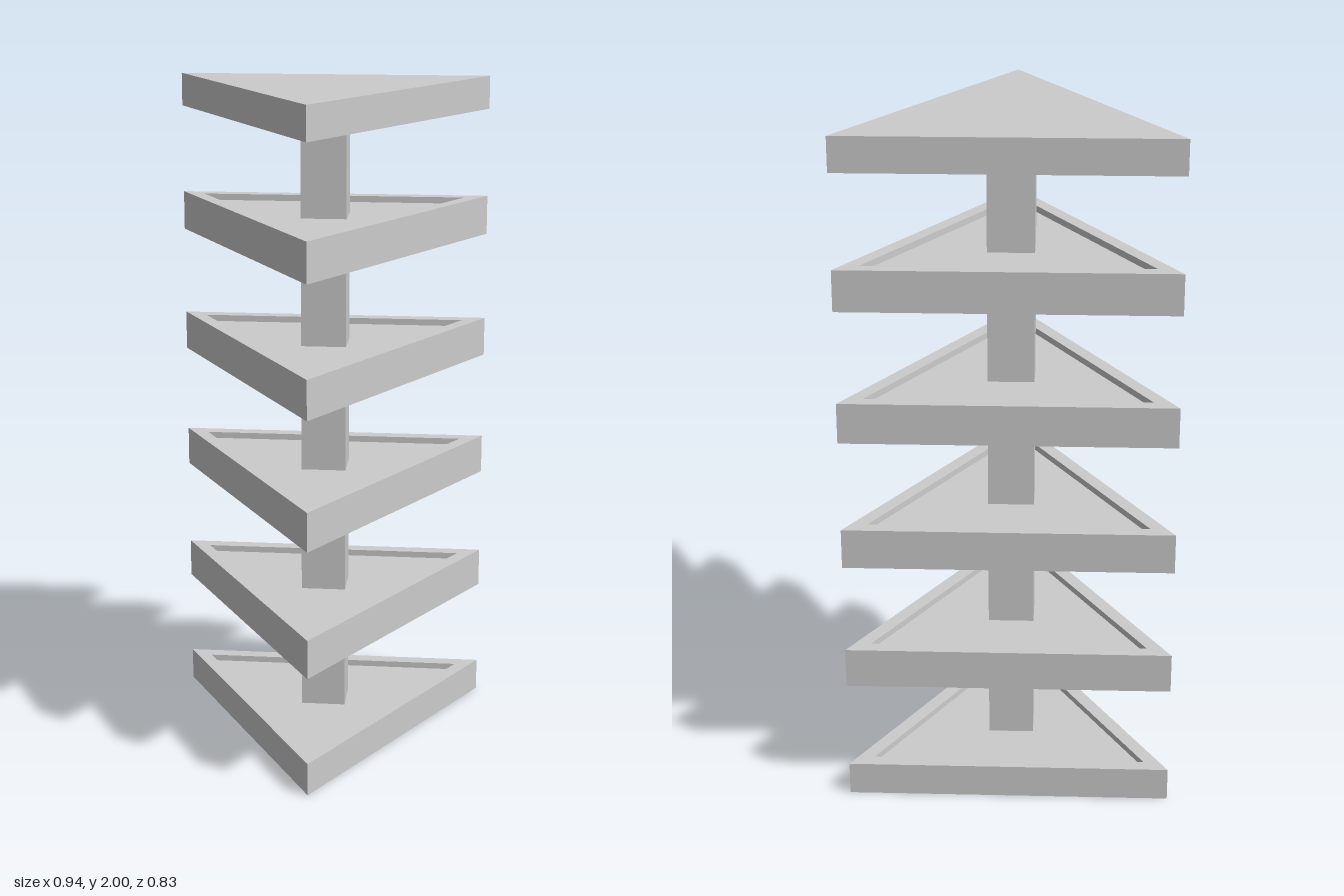
import * as THREE from 'three';

const LEVELS = 6;
const CORE = 0.08;      // thickness of each shelf floor
const RIM = 0.019;      // height of the raised border
const HALF_W = 0.472;
const HALF_D = 0.415;
const PITCH = (2 - CORE) / (LEVELS - 1);
const CENTROID_Z = -HALF_D / 3;

const material = new THREE.MeshStandardMaterial({ color: 0xcccccc, flatShading: true });

// Triangle corners in plan (x, z), scaled about the centroid
function corners(scale) {
  return [[-HALF_W, -HALF_D], [HALF_W, -HALF_D], [0, HALF_D]].map(
    ([x, z]) => new THREE.Vector2(x * scale, CENTROID_Z + (z - CENTROID_Z) * scale)
  );
}

// Triangular slab whose underside is at y, with an optional triangular opening
function slab(name, y, height, opening) {
  const shape = new THREE.Shape(corners(1));
  if (opening) shape.holes.push(new THREE.Path(corners(opening).reverse()));
  const geometry = new THREE.ExtrudeGeometry(shape, { depth: height, bevelEnabled: false });
  geometry.rotateX(Math.PI / 2).translate(0, y + height, 0);
  const mesh = new THREE.Mesh(geometry, material);
  mesh.name = name;
  return mesh;
}

export function createModel() {
  const model = new THREE.Group();
  model.name = 'triangularShelfTower';

  for (let i = 0; i < LEVELS; i++) {
    const y = i * PITCH;
    const shelf = new THREE.Group();
    shelf.name = `shelf${i + 1}`;
    shelf.add(slab('shelfFloor', y, CORE));

    // Borders face inward only on the end shelves, both ways on the others
    if (i < LEVELS - 1) shelf.add(slab('upperRim', y + CORE, RIM, 0.85));
    if (i > 0) shelf.add(slab('lowerRim', y - RIM, RIM, 0.85));
    model.add(shelf);

    // Post section up to the next floor
    if (i < LEVELS - 1) {
      const height = PITCH - CORE;
      const post = new THREE.Mesh(new THREE.BoxGeometry(0.134, height, 0.122), material);
      post.position.set(0, y + CORE + height / 2, -0.12);
      post.name = `post${i + 1}`;
      model.add(post);
    }
  }
  return model;
}
